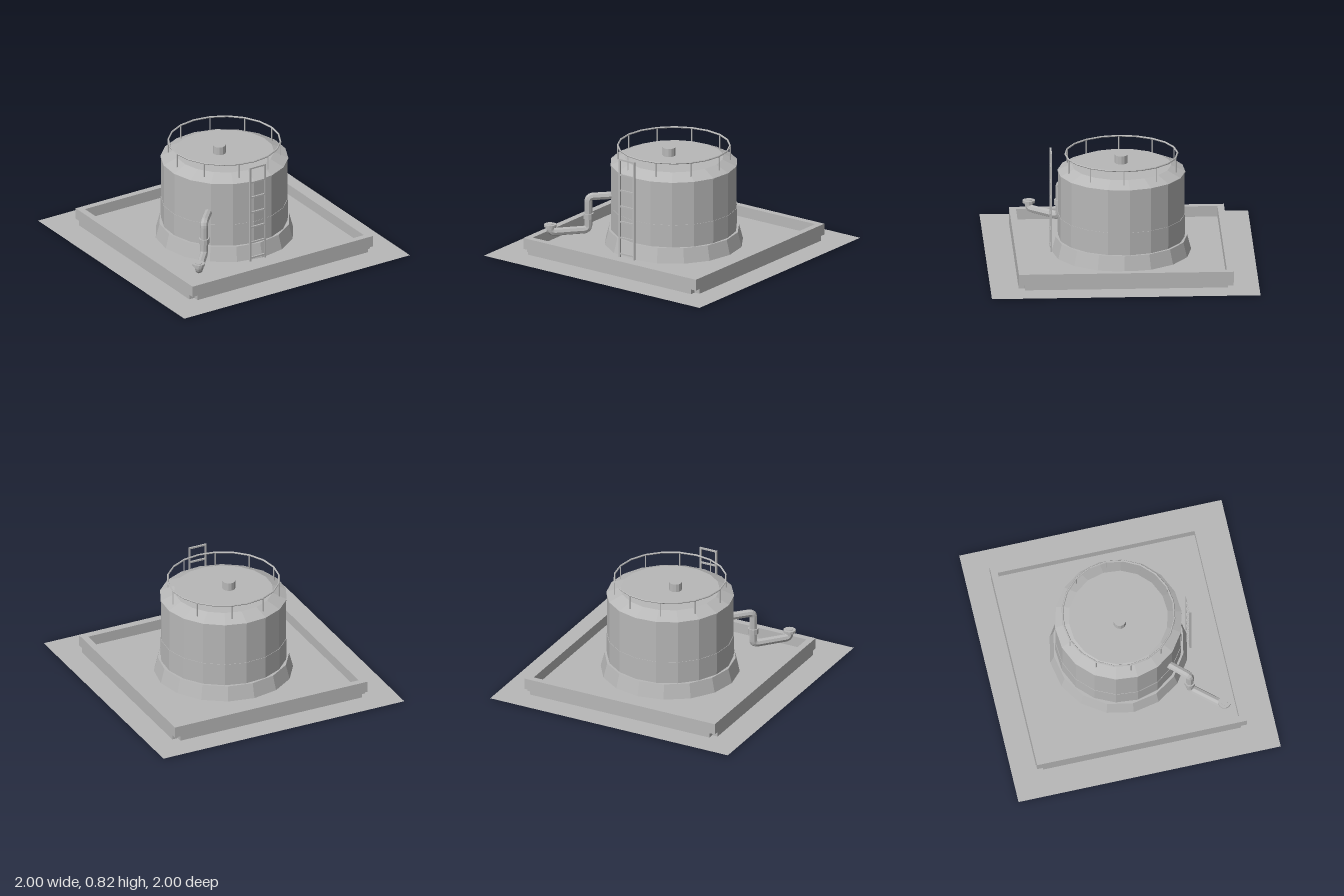
import * as THREE from 'three';

const CX = 0.01, CZ = -0.01; // shared centre of tank and containment wall

export function createModel() {
  const model = new THREE.Group();
  model.name = 'storageTank';
  const grey = new THREE.MeshStandardMaterial({ color: 0xb8b8b8, flatShading: true, side: THREE.DoubleSide });
  grey.name = 'concreteGrey';

  const add = (name, geometry, x = 0, y = 0, z = 0, parent = model) => {
    const mesh = new THREE.Mesh(geometry, grey);
    mesh.name = name;
    mesh.position.set(x, y, z);
    parent.add(mesh);
    return mesh;
  };
  // Upright cylinder or cone between two heights
  const drum = (name, rTop, rBottom, y0, y1, sides, x = CX, z = CZ, start = 0, open = false, parent = model) =>
    add(name, new THREE.CylinderGeometry(rTop, rBottom, y1 - y0, sides, 1, open, start), x, (y0 + y1) / 2, z, parent);

  // Ground sheet
  add('ground', new THREE.PlaneGeometry(2, 2).rotateX(-Math.PI / 2), 0, 0.006, 0);

  // Containment wall with a raised floor and notched lower corners
  const square = (r, Type) => new Type([[-r, -r], [r, -r], [r, r], [-r, r]].map(p => new THREE.Vector2(...p)));
  const frame = square(0.8, THREE.Shape);
  frame.holes.push(square(0.75, THREE.Path));
  add('containmentWall',
    new THREE.ExtrudeGeometry(frame, { depth: 0.085, bevelEnabled: false }).rotateX(-Math.PI / 2), CX, 0.045, CZ);
  const a = 0.8, b = 0.755;
  const cross = new THREE.Shape([[-b, -a], [b, -a], [b, -b], [a, -b], [a, b], [b, b], [b, a], [-b, a],
    [-b, b], [-a, b], [-a, -b], [-b, -b]].map(p => new THREE.Vector2(...p)));
  add('containmentFloor',
    new THREE.ExtrudeGeometry(cross, { depth: 0.04, bevelEnabled: false }).rotateX(-Math.PI / 2), CX, 0.008, CZ);

  // Tank shell, footing and roof
  const turn = THREE.MathUtils.degToRad(15);
  drum('footing', 0.49, 0.532, 0, 0.16, 16);
  drum('tankShell', 0.471, 0.471, 0.1, 0.665, 18, CX, CZ, turn, true);
  drum('lowerBand', 0.474, 0.474, 0.18, 0.335, 18, CX, CZ, turn);
  drum('eave', 0.476, 0.476, 0.66, 0.67, 18, CX, CZ, turn);
  drum('roof', 0.37, 0.475, 0.67, 0.717, 18, CX, CZ, turn);
  drum('roofHatch', 0.048, 0.048, 0.71, 0.78, 12, -0.035, CZ);

  // Guard rail around the roof
  const railing = new THREE.Group();
  railing.name = 'railing';
  model.add(railing);
  add('topRail', new THREE.TorusGeometry(0.418, 0.007, 6, 20).rotateX(Math.PI / 2), CX, 0.803, CZ, railing);
  for (let i = 0; i < 10; i++) {
    const t = (18 + 36 * i) * Math.PI / 180;
    drum('railPost', 0.005, 0.005, 0.69, 0.803, 6,
      CX + 0.418 * Math.sin(t), CZ + 0.418 * Math.cos(t), 0, false, railing);
  }

  // Ladder on the front
  const ladder = new THREE.Group();
  ladder.name = 'ladder';
  ladder.position.set(-0.035, 0, 0.513);
  model.add(ladder);
  for (const s of [-1, 1]) {
    add('ladderSide', new THREE.BoxGeometry(0.013, 0.77, 0.013), s * 0.066, 0.433, 0, ladder);
  }
  for (const y of [0.075, 0.2, 0.325, 0.446, 0.57, 0.694, 0.812]) {
    add('rung', new THREE.BoxGeometry(0.142, 0.012, 0.012), 0, y, 0, ladder);
  }

  // Outlet pipe: straight runs joined by short bends
  const corners = [[-0.3, 0.425, 0.265], [-0.455, 0.425, 0.43], [-0.455, 0.168, 0.43],
    [-0.645, 0.168, 0.65], [-0.645, 0.22, 0.65]].map(p => new THREE.Vector3(...p));
  const path = new THREE.CurvePath();
  let from = corners[0];
  for (let i = 1; i < corners.length - 1; i++) {
    const c = corners[i];
    const toward = p => c.clone().add(p.clone().sub(c).setLength(0.035));
    const start = toward(corners[i - 1]), end = toward(corners[i + 1]);
    path.add(new THREE.LineCurve3(from, start));
    path.add(new THREE.QuadraticBezierCurve3(start, c, end));
    from = end;
  }
  path.add(new THREE.LineCurve3(from, corners[corners.length - 1]));
  add('outletPipe', new THREE.TubeGeometry(path, 60, 0.03, 8, false));
  drum('pipeCollar', 0.04, 0.04, 0.255, 0.297, 10, -0.455, 0.43);
  drum('outletFlange', 0.047, 0.047, 0.212, 0.23, 12, -0.645, 0.65);
  drum('outletCap', 0.026, 0.026, 0.23, 0.234, 12, -0.645, 0.65);

  return model;
}
